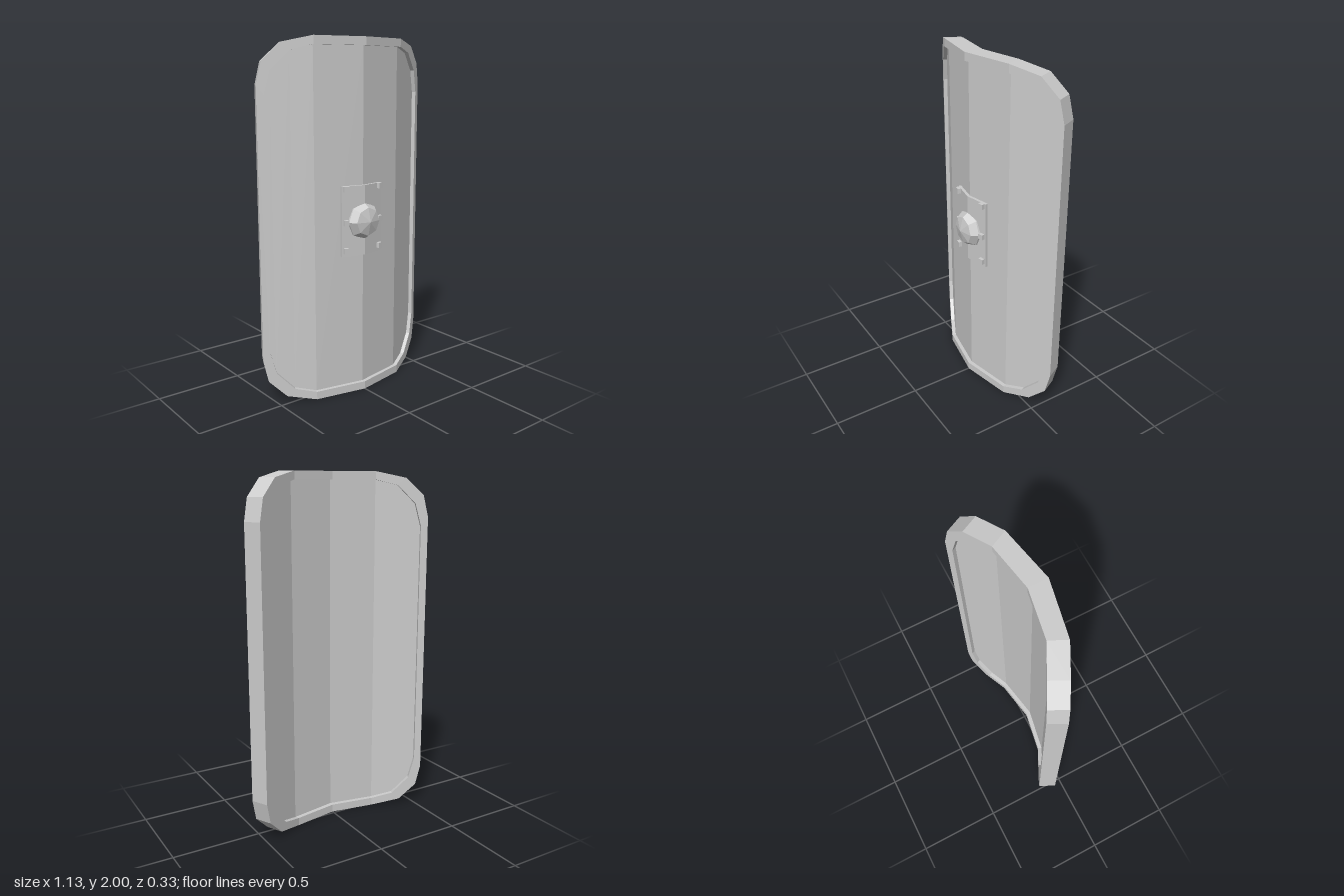
import * as THREE from 'three';

const mat = new THREE.MeshStandardMaterial({ color: 0xcccccc, flatShading: true });

// Point on the bent shield: x across the front face, t = depth (0 front, 1 back)
function bend(x, y, t) {
  const a = Math.abs(x), k = Math.min(1, a / 0.3);
  const z = a < 0.3 ? 0.12 - 0.2 * a : 0.06 - 0.51 * (a - 0.3);
  return [x - Math.sign(x) * 0.045 * k * t, y, z - (0.105 - 0.015 * k) * t];
}

// Mirrors half a lower edge [x, y] (from the middle outwards) to a full one
const mirror = half => [...half.slice(1).reverse().map(([x, y]) => [-x, y]), ...half];

// Closed loop, counter-clockwise from the front; the upper edge mirrors the lower about y = mid
function loop(lower, t, mid = 1) {
  const upper = [...lower].reverse().map(([x, y]) => [x, 2 * mid - y]);
  return [...lower, ...upper].map(([x, y]) => bend(x, y, t));
}

function quad(out, a, b, c, d) {
  out.push(...a, ...b, ...c, ...a, ...c, ...d);
}

// Walls between successive loops
function walls(out, loops) {
  for (let k = 0; k + 1 < loops.length; k++) {
    const A = loops[k], B = loops[k + 1], n = A.length;
    for (let i = 0; i < n; i++) {
      const j = (i + 1) % n;
      quad(out, A[i], A[j], B[j], B[i]);
    }
  }
}

// Fills a loop with vertical strips
function fill(out, L, back) {
  const n = L.length;
  for (let i = 0; i + 1 < n / 2; i++) {
    const q = [L[i], L[i + 1], L[n - 2 - i], L[n - 1 - i]];
    quad(out, ...(back ? q.reverse() : q));
  }
}

function mesh(name, positions) {
  const g = new THREE.BufferGeometry();
  g.setAttribute('position', new THREE.Float32BufferAttribute(positions, 3));
  g.computeVertexNormals();
  const m = new THREE.Mesh(g, mat);
  m.name = name;
  return m;
}

// Bent slab with front, back and edge faces
function slab(name, lower, t0, t1, mid) {
  const out = [], front = loop(lower, t0, mid), back = loop(lower, t1, mid);
  fill(out, front, false);
  fill(out, back, true);
  walls(out, [back, front]);
  return mesh(name, out);
}

export function createModel() {
  const group = new THREE.Group();
  group.name = 'shield';

  const outer = mirror([[0, 0], [0.3, 0], [0.45, 0.035], [0.54, 0.13], [0.565, 0.25]]);
  const inner = mirror([[0, 0.045], [0.3, 0.045], [0.41, 0.075], [0.5, 0.175], [0.53, 0.3]]);

  // Raised rim
  const rim = [], o0 = loop(outer, 0);
  walls(rim, [o0, loop(inner, 0), loop(inner, 1), loop(outer, 1), o0]);
  group.add(mesh('rim', rim));

  // Recessed body panel
  group.add(slab('panel', inner, 0.22, 0.75));

  // Bent mounting plate
  group.add(slab('bossPlate', mirror([[0, 0.81], [0.142, 0.81]]), 0.06, 0.25, 1.0075));

  // Rivets, tilted with the plate
  const rivetGeo = new THREE.BoxGeometry(0.03, 0.03, 0.03);
  for (const s of [-1, 1]) {
    for (const y of [0.845, 1.003, 1.19]) {
      const rivet = new THREE.Mesh(rivetGeo, mat);
      rivet.name = 'rivet';
      rivet.position.set(s * 0.118, y, 0.094);
      rivet.rotation.y = s * 0.2;
      group.add(rivet);
    }
  }

  // Faceted central boss
  const profile = [[0.105, 0.085], [0.105, 0.105], [0.08, 0.145], [0, 0.165]];
  const boss = new THREE.Mesh(
    new THREE.LatheGeometry(profile.map(p => new THREE.Vector2(...p)), 8), mat);
  boss.name = 'boss';
  boss.rotation.x = Math.PI / 2;
  boss.position.y = 1.003;
  group.add(boss);

  return group;
}
